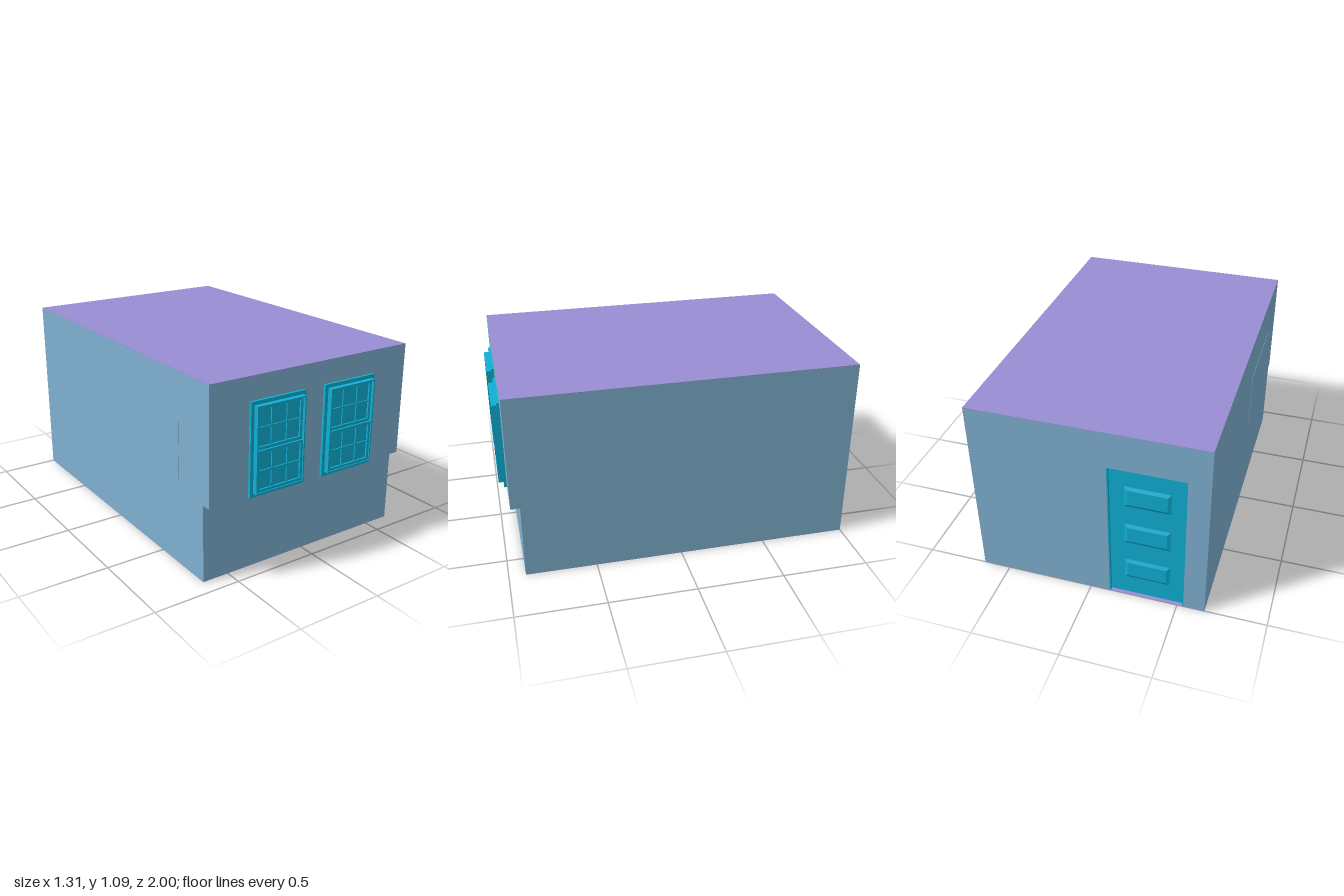
import * as THREE from 'three';

const wallMat = new THREE.MeshStandardMaterial({ color: 0x7fb0d0 });
const slabMat = new THREE.MeshStandardMaterial({ color: 0x988dd3 });
const trimMat = new THREE.MeshStandardMaterial({ color: 0x0fb0d4 });

// Box given by its minimum and maximum corners
function box(parent, name, mat, [x0, y0, z0], [x1, y1, z1]) {
  const mesh = new THREE.Mesh(new THREE.BoxGeometry(x1 - x0, y1 - y0, z1 - z0), mat);
  mesh.position.set((x0 + x1) / 2, (y0 + y1) / 2, (z0 + z1) / 2);
  mesh.name = name;
  parent.add(mesh);
  return mesh;
}

function rectPath(path, x0, y0, x1, y1) {
  path.moveTo(x0, y0);
  path.lineTo(x1, y0);
  path.lineTo(x1, y1);
  path.lineTo(x0, y1);
  path.closePath();
  return path;
}

// Rectangular ring between z0 and z1
function ring(parent, name, x0, y0, x1, y1, width, z0, z1) {
  const shape = rectPath(new THREE.Shape(), x0, y0, x1, y1);
  shape.holes.push(rectPath(new THREE.Path(), x0 + width, y0 + width, x1 - width, y1 - width));
  const mesh = new THREE.Mesh(
    new THREE.ExtrudeGeometry(shape, { depth: z1 - z0, bevelEnabled: false }), trimMat);
  mesh.position.z = z0;
  mesh.name = name;
  parent.add(mesh);
}

// Sash with a pane and a three by two grid of bars
function sash(parent, name, y0, y1, z) {
  const group = new THREE.Group();
  group.name = name;
  const w = 0.148;
  ring(group, 'sashFrame', -w, y0, w, y1, 0.016, 0.973, z);
  box(group, 'pane', trimMat, [-w, y0, 0.965], [w, y1, z - 0.01]);
  for (const x of [-w / 3, w / 3])
    box(group, 'verticalBar', trimMat, [x - 0.004, y0, 0.965], [x + 0.004, y1, z - 0.003]);
  const m = (y0 + y1) / 2;
  box(group, 'horizontalBar', trimMat, [-w, m - 0.004, 0.965], [w, m + 0.004, z - 0.003]);
  parent.add(group);
}

function frontWindow(x) {
  const group = new THREE.Group();
  group.name = 'frontWindow';
  box(group, 'windowTrim', trimMat, [-0.175, 0.44, 0.95], [0.175, 0.96, 0.972]);
  ring(group, 'windowCasing', -0.155, 0.463, 0.155, 0.94, 0.008, 0.96, 1);
  sash(group, 'upperSash', 0.7, 0.933, 0.984);
  sash(group, 'lowerSash', 0.47, 0.7, 0.994);
  group.position.x = x;
  return group;
}

// Recessed door with three raised, bevelled panels
function backDoor() {
  const group = new THREE.Group();
  group.name = 'backDoor';
  box(group, 'doorLeaf', trimMat, [-0.53, 0, -0.98], [-0.115, 0.87, -0.96]);
  // Linings of the recess
  box(group, 'doorJamb', trimMat, [-0.535, 0, -0.999], [-0.528, 0.875, -0.97]);
  box(group, 'doorJamb', trimMat, [-0.117, 0, -0.999], [-0.11, 0.875, -0.97]);
  box(group, 'doorHead', trimMat, [-0.535, 0.868, -0.999], [-0.11, 0.875, -0.97]);
  const b = 0.018;
  for (const y of [0.12, 0.375, 0.63]) {
    const shape = rectPath(new THREE.Shape(), -0.45 + b, y + b, -0.197 - b, y + 0.13 - b);
    const panel = new THREE.Mesh(new THREE.ExtrudeGeometry(shape, {
      depth: 0.002, bevelSize: b, bevelThickness: 0.009, bevelSegments: 1,
    }), trimMat);
    panel.position.z = -0.981;
    panel.name = 'doorPanel';
    group.add(panel);
  }
  return group;
}

export function createModel() {
  const model = new THREE.Group();
  const W = 0.655, H = 1.09;

  // Body with an overhanging upper front
  box(model, 'upperWalls', wallMat, [-W, 0.44, -0.975], [W, H - 0.002, 0.957]);
  box(model, 'lowerWalls', wallMat, [-W, 0.002, -0.975], [W, 0.44, 0.905]);

  // Back wall, notched for the door
  const back = new THREE.Shape();
  [[-W, 0.002], [-0.535, 0.002], [-0.535, 0.875], [-0.11, 0.875], [-0.11, 0.002],
    [W, 0.002], [W, H - 0.002], [-W, H - 0.002]]
    .forEach(([x, y], i) => (i ? back.lineTo(x, y) : back.moveTo(x, y)));
  const backWall = new THREE.Mesh(
    new THREE.ExtrudeGeometry(back, { depth: 0.025, bevelEnabled: false }), wallMat);
  backWall.position.z = -1;
  backWall.name = 'backWall';
  model.add(backWall);

  // Roof and floor
  box(model, 'roof', slabMat, [-W, H - 0.002, -1], [W, H, 0.957]);
  box(model, 'floor', slabMat, [-W, 0, -1], [W, 0.002, 0.905]);

  // Nearly flush panel in the side wall
  box(model, 'sidePanel', wallMat, [-W - 0.002, 0.48, 0.12], [-W + 0.01, 0.84, 0.68]);

  for (const side of [-1, 1]) model.add(frontWindow(side * 0.24));
  model.add(backDoor());
  return model;
}
